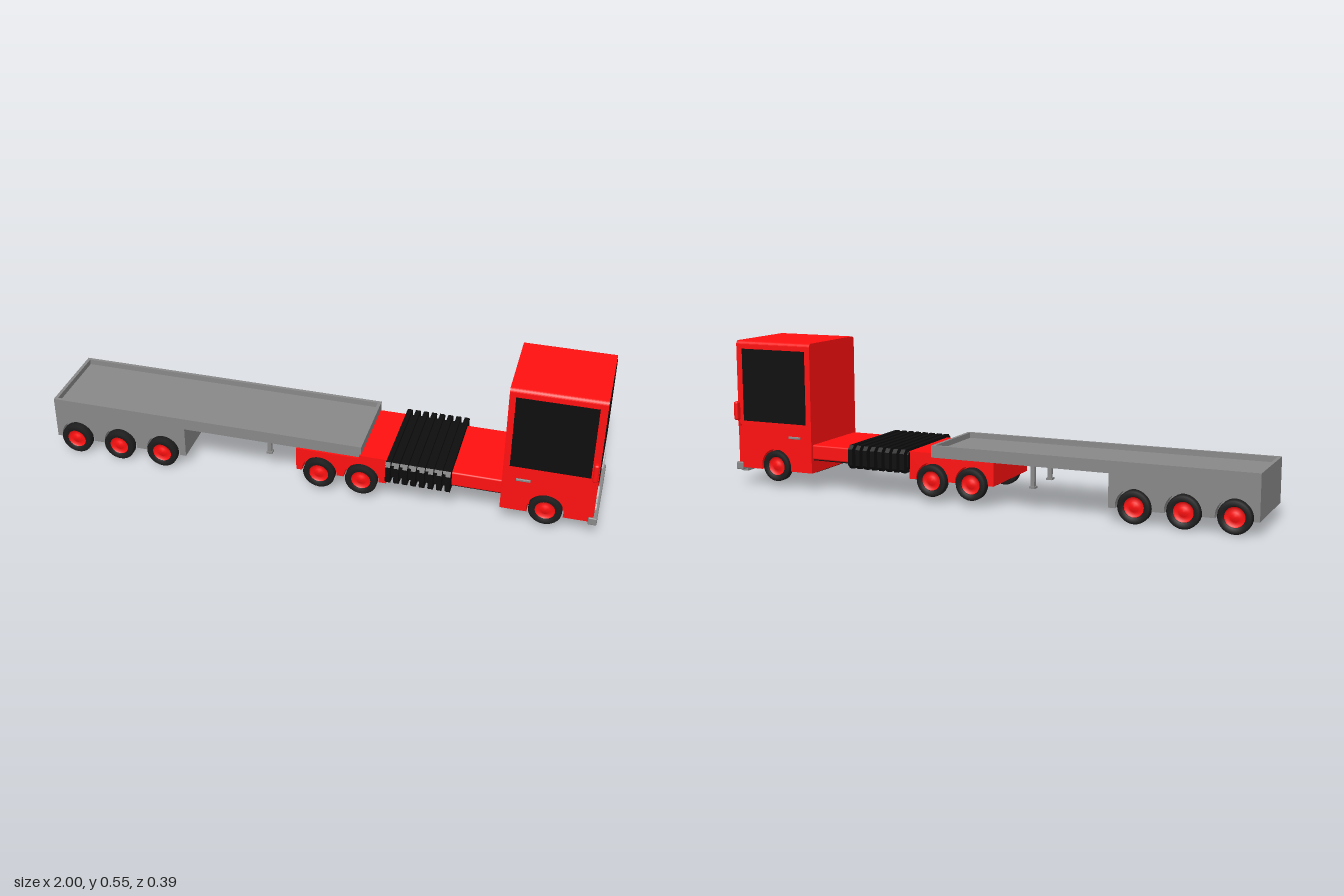
import * as THREE from 'three';
import { RoundedBoxGeometry } from 'three/addons/geometries/RoundedBoxGeometry.js';

const mat = (color) => new THREE.MeshStandardMaterial({ color });
const RED = mat(0xff1010), BLACK = mat(0x0d0d0d), TYRE = mat(0x1c1c1c), GREY = mat(0x888888), LAMP = mat(0xcccccc);

function add(parent, name, geometry, material) {
  const mesh = new THREE.Mesh(geometry, material);
  mesh.name = name;
  parent.add(mesh);
  return mesh;
}

// Box given by its limits on each axis
function box(parent, name, material, x0, x1, y0, y1, z0, z1, radius = 0) {
  const size = [x1 - x0, y1 - y0, z1 - z0];
  const geometry = radius ? new RoundedBoxGeometry(...size, 3, radius) : new THREE.BoxGeometry(...size);
  geometry.translate((x0 + x1) / 2, (y0 + y1) / 2, (z0 + z1) / 2);
  return add(parent, name, geometry, material);
}

// Body with wheel arches cut into both side skirts and a solid core between
function archedBody(parent, name, material, x0, x1, y0, y1, z0, z1, wheelXs, wheelY) {
  const skirt = 0.04, r = 0.064, a = Math.asin((y0 - wheelY) / r);
  const shape = new THREE.Shape();
  shape.moveTo(x0, y1);
  shape.lineTo(x0, y0);
  for (const x of wheelXs) shape.absarc(x, wheelY, r, Math.PI - a, a, true);
  shape.lineTo(x1, y0);
  shape.lineTo(x1, y1);
  shape.closePath();
  for (const z of [z0, z1 - skirt]) {
    const geometry = new THREE.ExtrudeGeometry(shape, { depth: skirt, bevelEnabled: false, curveSegments: 20 });
    geometry.translate(0, 0, z);
    add(parent, name + 'Skirt', geometry, material);
  }
  box(parent, name + 'Core', material, x0, x1, y0, y1, z0 + skirt, z1 - skirt);
}

// Lathed tyre with a dished hub, outer face towards +z
const tyreProfile = [[0.034, -0.015], [0.053, -0.015], [0.058, -0.011], [0.058, 0.011], [0.053, 0.015], [0.037, 0.015], [0.034, 0.009]];
const hubProfile = [[0.035, 0.011], [0.031, 0.007], [0.019, 0.004], [0.016, 0.01], [0, 0.011]];
function lathe(points) {
  const geometry = new THREE.LatheGeometry(points.map(([r, h]) => new THREE.Vector2(r, h)), 28);
  return geometry.rotateX(Math.PI / 2);
}
function wheelPair(parent, x, y) {
  for (const side of [1, -1]) {
    const wheel = new THREE.Group();
    wheel.name = 'wheel';
    add(wheel, 'tyre', lathe(tyreProfile), TYRE);
    const hub = add(wheel, 'hub', lathe(hubProfile), RED.clone());
    hub.material.side = THREE.DoubleSide;
    wheel.position.set(x, y, side * 0.147);
    if (side < 0) wheel.rotation.y = Math.PI;
    parent.add(wheel);
  }
  const axle = add(parent, 'axle', new THREE.CylinderGeometry(0.012, 0.012, 0.28, 10), TYRE);
  axle.rotation.x = Math.PI / 2;
  axle.position.set(x, y, 0);
}

function makeCab() {
  const cab = new THREE.Group();
  cab.name = 'cab';
  archedBody(cab, 'lowerCab', RED, 0.668, 0.987, 0.065, 0.23, -0.16, 0.16, [0.823], 0.081);
  box(cab, 'cabFloor', BLACK, 0.672, 0.983, 0.062, 0.068, -0.118, 0.118);

  // Upper cab with rounded roof edges
  const w = 0.16, top = 0.547, r = 0.014;
  const s = new THREE.Shape();
  s.moveTo(-w, 0.23);
  s.lineTo(w, 0.23);
  s.lineTo(w, top - r);
  s.absarc(w - r, top - r, r, 0, Math.PI / 2, false);
  s.absarc(-w + r, top - r, r, Math.PI / 2, Math.PI, false);
  const upper = new THREE.ExtrudeGeometry(s, { depth: 0.319, bevelEnabled: false, curveSegments: 6 });
  upper.rotateY(Math.PI / 2).translate(0.668, 0, 0);
  add(cab, 'upperCab', upper, RED);

  box(cab, 'windscreen', BLACK, 0.975, 0.989, 0.23, 0.53, -0.155, 0.155);
  box(cab, 'bumper', GREY, 0.97, 1, 0.056, 0.085, -0.166, 0.166, 0.004);
  box(cab, 'bumperLip', GREY, 0.97, 0.995, 0.046, 0.06, -0.135, 0.135);

  for (const side of [1, -1]) {
    const sideBox = (name, m, x0, x1, y0, y1, a, b, rad) =>
      box(cab, name, m, x0, x1, y0, y1, Math.min(side * a, side * b), Math.max(side * a, side * b), rad);
    sideBox('sideWindow', BLACK, 0.69, 0.962, 0.245, 0.517, 0.15, 0.162);
    sideBox('doorHandle', GREY, 0.715, 0.765, 0.189, 0.198, 0.155, 0.165, 0.002);
    sideBox('headlight', LAMP, 0.975, 0.994, 0.122, 0.163, 0.075, 0.135, 0.007);
    sideBox('indicator', LAMP, 0.975, 0.993, 0.097, 0.112, 0.112, 0.135, 0.004);
    sideBox('mirrorArm', RED, 0.972, 0.978, 0.226, 0.231, 0.155, 0.176);
    sideBox('mirrorPost', RED, 0.972, 0.978, 0.226, 0.26, 0.172, 0.176);
    sideBox('mirror', RED, 0.967, 0.985, 0.25, 0.32, 0.171, 0.195, 0.007);
  }
  wheelPair(cab, 0.823, 0.081);
  return cab;
}

// Chamfered rectangular slice of the bellows, extruded along x
function bellowsSlice(halfZ, halfY, c, x, length) {
  const s = new THREE.Shape([
    [halfZ, -halfY + c], [halfZ, halfY - c], [halfZ - c, halfY], [-halfZ + c, halfY],
    [-halfZ, halfY - c], [-halfZ, -halfY + c], [-halfZ + c, -halfY], [halfZ - c, -halfY],
  ].map(([a, b]) => new THREE.Vector2(a, b)));
  const geometry = new THREE.ExtrudeGeometry(s, { depth: length, bevelEnabled: false });
  return geometry.rotateY(Math.PI / 2).translate(x, 0.146, 0);
}

function makeChassis() {
  const chassis = new THREE.Group();
  chassis.name = 'chassis';
  // Neck behind the cab
  box(chassis, 'neck', RED, 0.48, 0.67, 0.117, 0.172, -0.152, 0.152, 0.006);
  box(chassis, 'neckFloor', BLACK, 0.49, 0.67, 0.113, 0.119, -0.145, 0.145);
  // Folding joint
  add(chassis, 'bellowsCore', bellowsSlice(0.165, 0.031, 0.008, 0.262, 0.232), BLACK);
  for (let i = 0; i < 8; i++)
    add(chassis, 'bellowsRib', bellowsSlice(0.188, 0.043, 0.014, 0.267 + i * 0.0302, 0.017), BLACK);
  // Rear carriage
  archedBody(chassis, 'rearCarriage', RED, -0.065, 0.264, 0.08, 0.168, -0.152, 0.152, [0.02, 0.174], 0.081);
  box(chassis, 'carriageDeck', RED, 0.165, 0.264, 0.165, 0.18, -0.152, 0.152);
  box(chassis, 'carriageFloor', BLACK, -0.06, 0.258, 0.077, 0.083, -0.111, 0.111);
  for (const x of [0.02, 0.174]) wheelPair(chassis, x, 0.081);
  return chassis;
}

function makeTrailer() {
  const trailer = new THREE.Group();
  trailer.name = 'trailer';
  const z0 = -0.164, z1 = 0.144, x0 = -1, x1 = 0.17, t = 0.012;
  box(trailer, 'bed', GREY, x0, x1, 0.167, 0.19, z0, z1);
  // Raised rim around the bed
  box(trailer, 'sideRim', GREY, x0, x1, 0.19, 0.21, z0, z0 + t);
  box(trailer, 'sideRim', GREY, x0, x1, 0.19, 0.21, z1 - t, z1);
  box(trailer, 'endRim', GREY, x0, x0 + t, 0.19, 0.21, z0 + t, z1 - t);
  box(trailer, 'endRim', GREY, x1 - t, x1, 0.19, 0.21, z0 + t, z1 - t);

  const axles = [-0.917, -0.747, -0.578];
  archedBody(trailer, 'rearBox', GREY, x0, -0.49, 0.05, 0.167, z0, z1, axles, 0.058);
  for (const x of axles) wheelPair(trailer, x, 0.058);

  // Landing legs
  for (const z of [-0.09, 0.07]) {
    box(trailer, 'landingLeg', GREY, -0.196, -0.182, 0.078, 0.168, z - 0.007, z + 0.007);
    box(trailer, 'landingFoot', GREY, -0.2, -0.178, 0.074, 0.081, z - 0.012, z + 0.012);
  }
  return trailer;
}

export function createModel() {
  const model = new THREE.Group();
  model.name = 'articulatedTruck';
  model.add(makeCab(), makeChassis(), makeTrailer());
  return model;
}
